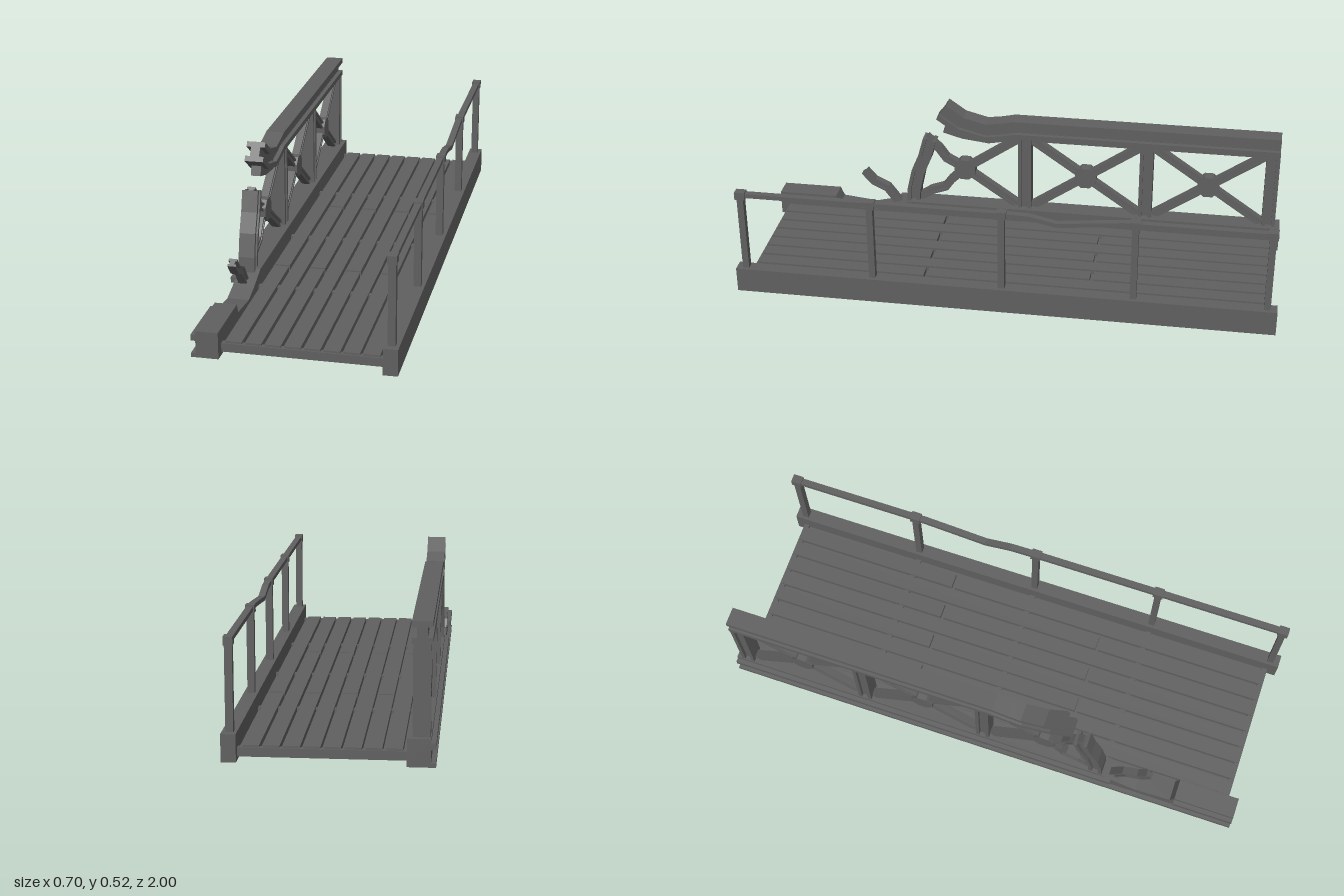
import * as THREE from 'three';

const material = new THREE.MeshStandardMaterial({ color: 0x606060, flatShading: true });

function add(parent, name, geometry) {
  const mesh = new THREE.Mesh(geometry, material);
  mesh.name = name;
  parent.add(mesh);
}

// Box given by its limits on each axis
function box(parent, name, x0, x1, y0, y1, z0, z1) {
  const g = new THREE.BoxGeometry(x1 - x0, y1 - y0, z1 - z0);
  g.translate((x0 + x1) / 2, (y0 + y1) / 2, (z0 + z1) / 2);
  add(parent, name, g);
}

// I-shaped section: half width w, half height h, half web t, flange thickness f
function iSection(w, h, t, f) {
  const half = [[w, -h], [w, -h + f], [t, -h + f], [t, h - f], [w, h - f], [w, h]];
  return [...half, ...half.map(([x, y]) => [-x, -y])];
}

function rectSection(w, h) {
  return [[w, -h], [w, h], [-w, h], [-w, -h]];
}

// Sweep a section along a bent path of [z, y] points in the plane x = x0
function sweep(section, path, x0) {
  const pts = path.map(([z, y]) => new THREE.Vector2(z, y));
  const rings = pts.map((p, i) => {
    const before = i > 0 ? p.clone().sub(pts[i - 1]).normalize() : null;
    const after = i < pts.length - 1 ? pts[i + 1].clone().sub(p).normalize() : null;
    const t = (before || after).clone().add(after || before).normalize();
    const miter = 1 / t.dot(before || after);
    return section.map(([x, h]) =>
      [x0 + x, p.y + t.x * h * miter, p.x - t.y * h * miter]);
  });
  const out = [];
  const n = section.length;
  for (let i = 0; i < rings.length - 1; i++) {
    for (let k = 0; k < n; k++) {
      const j = (k + 1) % n;
      const a = rings[i][k], b = rings[i][j], c = rings[i + 1][j], d = rings[i + 1][k];
      out.push(...a, ...b, ...c, ...a, ...c, ...d);
    }
  }
  // End caps
  const last = rings[rings.length - 1];
  const caps = THREE.ShapeUtils.triangulateShape(section.map(([x, h]) => new THREE.Vector2(x, h)), []);
  for (const [a, b, c] of caps) {
    out.push(...last[a], ...last[b], ...last[c]);
    out.push(...rings[0][a], ...rings[0][c], ...rings[0][b]);
  }
  const g = new THREE.BufferGeometry();
  g.setAttribute('position', new THREE.Float32BufferAttribute(out, 3));
  g.computeVertexNormals();
  return g;
}

// Side profile of [z, y] points given thickness from x0 to x1
function sideProfile(points, x0, x1) {
  const shape = new THREE.Shape(points.map(([z, y]) => new THREE.Vector2(z, y)));
  const g = new THREE.ExtrudeGeometry(shape, { depth: x1 - x0, bevelEnabled: false });
  return g.rotateY(-Math.PI / 2).translate(x1, 0, 0);
}

function buildDeck() {
  const deck = new THREE.Group();
  deck.name = 'deck';
  box(deck, 'deckSlab', -0.256, 0.298, 0.012, 0.03, -0.97, 0.965);
  // Planks with staggered joints
  const gap = 0.006;
  for (let i = 0; i < 8; i++) {
    const x = -0.241 + i * 0.0667;
    const joint = i % 2 ? -0.31 : 0.31;
    box(deck, 'plank', x, x + 0.055, 0.028, 0.05, -0.965, joint - gap);
    box(deck, 'plank', x, x + 0.055, 0.028, 0.05, joint + gap, 0.96);
  }
  // Cross beams showing in the gaps between planks
  for (const z of [-0.96, -0.48, 0, 0.48, 0.955]) {
    box(deck, 'crossBeam', -0.256, 0.298, 0.028, 0.043, z - 0.01, z + 0.01);
  }
  return deck;
}

function buildGirders() {
  const girders = new THREE.Group();
  girders.name = 'girders';
  box(girders, 'leftGirder', 0.297, 0.347, 0, 0.095, -1, 1);
  // Right girder is crushed near its front end
  const dented = [[-1, 0], [1, 0], [1, 0.095], [0.77, 0.095], [0.755, 0.06],
    [0.62, 0.045], [0.56, 0.06], [0.46, 0.095], [-1, 0.095]];
  add(girders, 'rightGirder', sideProfile(dented, -0.333, -0.255));
  box(girders, 'bottomFlange', -0.349, -0.33, 0, 0.015, -1, 1);
  box(girders, 'sideRib', -0.349, -0.33, 0.06, 0.081, -1, 0.52);
  box(girders, 'sideRib', -0.349, -0.33, 0.06, 0.081, 0.77, 1);
  return girders;
}

function buildRailing() {
  const railing = new THREE.Group();
  railing.name = 'railing';
  const x = 0.321;
  for (let i = 0; i < 5; i++) {
    const z = -0.963 + i * 0.482;
    box(railing, 'railPost', x - 0.013, x + 0.013, 0.09, 0.39, z - 0.012, z + 0.012);
    box(railing, 'postCap', x - 0.016, x + 0.016, 0.384, 0.413, z - 0.019, z + 0.019);
  }
  // Handrail, sagging between two posts
  const path = [[-0.98, 0.4], [-0.44, 0.4], [-0.34, 0.39], [-0.2, 0.375], [-0.1, 0.397], [0, 0.4], [0.985, 0.4]];
  add(railing, 'handrail', sweep(rectSection(0.012, 0.008), path, x));
  return railing;
}

function buildTruss() {
  const truss = new THREE.Group();
  truss.name = 'truss';
  const x = -0.301;
  const chord = iSection(0.034, 0.037, 0.017, 0.02);
  const post = iSection(0.029, 0.026, 0.016, 0.014);
  const bar = iSection(0.015, 0.015, 0.009, 0.009);

  // Top chord with its torn end curling upward, and the narrower chord under it
  const top = [[-0.98, 0.438], [0.045, 0.438], [0.1, 0.426], [0.16, 0.418], [0.26, 0.444], [0.332, 0.494]];
  add(truss, 'topChord', sweep(chord, top, x));
  const under = [[-0.975, 0.405], [0.045, 0.405], [0.15, 0.385], [0.25, 0.397], [0.325, 0.418]];
  add(truss, 'lowerChord', sweep(rectSection(0.018, 0.018), under, x));

  for (const z of [-0.955, -0.472, 0.005]) {
    add(truss, 'trussPost', sweep(post, [[z, 0.09], [z, 0.405]], x));
  }
  const bent = [[0.455, 0.085], [0.452, 0.14], [0.434, 0.22], [0.405, 0.29], [0.384, 0.366]];
  add(truss, 'bentPost', sweep(post, bent, x));

  // Crossed braces with a hub in each bay
  const hubY = 0.243;
  [-0.715, -0.235, 0.245].forEach((z, bay) => {
    const hub = new THREE.CylinderGeometry(0.045, 0.045, 0.044, 8);
    hub.rotateY(Math.PI / 8).rotateZ(Math.PI / 2).translate(x, hubY, z);
    add(truss, 'braceHub', hub);
    for (const side of bay === 2 ? [-1] : [-1, 1]) {
      for (const up of [-1, 1]) {
        add(truss, 'brace', sweep(bar, [[z, hubY], [z + side * 0.225, hubY + up * 0.155]], x));
      }
    }
  });

  // Broken braces in the front bay
  const broken = {
    brokenUpperBrace: [[0.245, hubY], [0.32, 0.283], [0.35, 0.325], [0.4, 0.37]],
    brokenLowerBrace: [[0.245, hubY], [0.3, 0.19], [0.325, 0.155], [0.38, 0.135], [0.44, 0.095]],
    braceStump: [[0.52, 0.07], [0.565, 0.13], [0.62, 0.157], [0.655, 0.198]],
  };
  for (const [name, path] of Object.entries(broken)) add(truss, name, sweep(bar, path, x));
  return truss;
}

export function createModel() {
  const bridge = new THREE.Group();
  bridge.name = 'brokenBridge';
  bridge.add(buildDeck(), buildGirders(), buildRailing(), buildTruss());
  return bridge;
}
